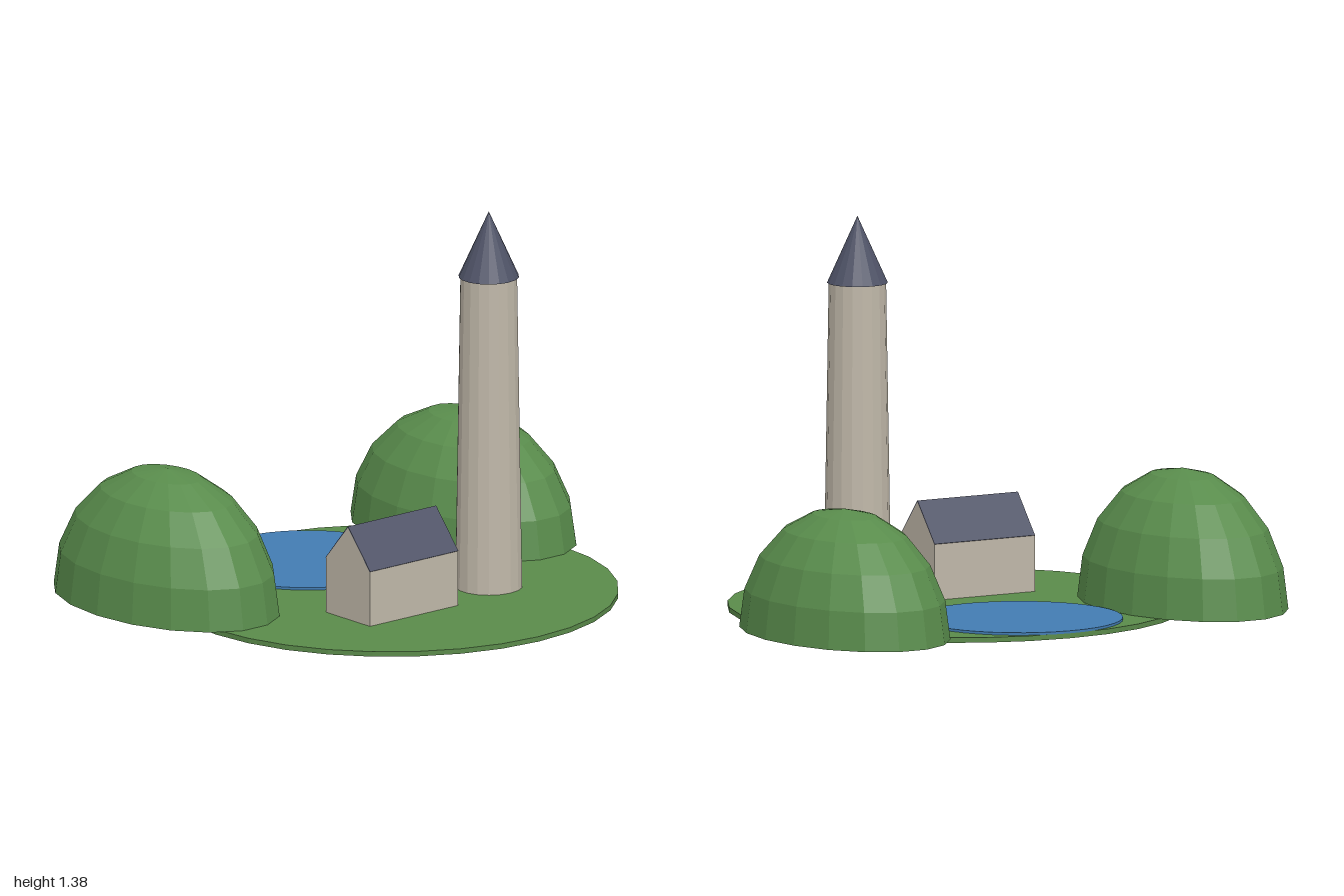
import * as THREE from 'three';

const GROUND_TOP = 0.018;

function material(name, color, side = THREE.FrontSide) {
  const m = new THREE.MeshStandardMaterial({ color, flatShading: true, side });
  m.name = name;
  return m;
}

export function createModel() {
  const model = new THREE.Group();
  model.name = 'lakesideTower';

  const grass = material('grass green', 0x5a8a4a);
  const hillGreen = material('hill green', 0x598c4c, THREE.DoubleSide);
  const water = material('water blue', 0x427cb2);
  const stone = material('pale stone', 0xbfb7a8);
  const slate = material('slate', 0x4f5367, THREE.DoubleSide);

  function add(name, geometry, mat, x, y, z) {
    const mesh = new THREE.Mesh(geometry, mat);
    mesh.name = name;
    mesh.position.set(x, y, z);
    model.add(mesh);
    return mesh;
  }

  // Round lawn with the pond lying on it
  add('ground', new THREE.CylinderGeometry(0.797, 0.797, GROUND_TOP, 32), grass, 0, GROUND_TOP / 2, 0.035);
  add('pond', new THREE.CylinderGeometry(0.36, 0.36, 0.009, 40), water, 0, GROUND_TOP + 0.0045, -0.405);

  // Two open half-dome hills, the right-hand one slightly lower
  for (const [name, x, height] of [['rightHill', -0.68, 0.475], ['leftHill', 0.68, 0.437]]) {
    const dome = new THREE.SphereGeometry(1, 18, 5, 0, Math.PI * 2, 0, Math.PI / 2);
    add(name, dome, hillGreen, x, GROUND_TOP + 0.001, -0.365).scale.set(0.32, height, 0.482);
  }

  // Tapered tower with a pointed roof
  const towerHeight = 1.14 - GROUND_TOP;
  add('tower', new THREE.CylinderGeometry(0.1, 0.118, towerHeight, 18), stone, 0.28, GROUND_TOP + towerHeight / 2, 0.237);
  add('towerRoof', new THREE.ConeGeometry(0.106, 0.235, 18), slate, 0.28, 1.2575, 0.237);

  // House: gabled walls extruded along x
  const half = 0.118, eave = 0.215, ridge = 0.352, length = 0.404;
  const gable = new THREE.Shape([
    new THREE.Vector2(-half, GROUND_TOP), new THREE.Vector2(half, GROUND_TOP),
    new THREE.Vector2(half, eave), new THREE.Vector2(0, ridge - 0.003), new THREE.Vector2(-half, eave),
  ]);
  const walls = new THREE.ExtrudeGeometry(gable, { depth: length, bevelEnabled: false });
  walls.translate(0, 0, -length / 2).rotateY(Math.PI / 2);
  add('houseWalls', walls, stone, -0.162, 0, 0.235);

  // Two roof slopes
  const slope = Math.hypot(half, ridge - eave);
  const pitch = Math.atan2(ridge - eave, half);
  for (const side of [-1, 1]) {
    const panel = add(side > 0 ? 'frontRoof' : 'backRoof', new THREE.BoxGeometry(length, 0.004, slope),
      slate, -0.162, (eave + ridge) / 2, 0.235 + side * half / 2);
    panel.rotation.x = side * pitch;
  }

  return model;
}
